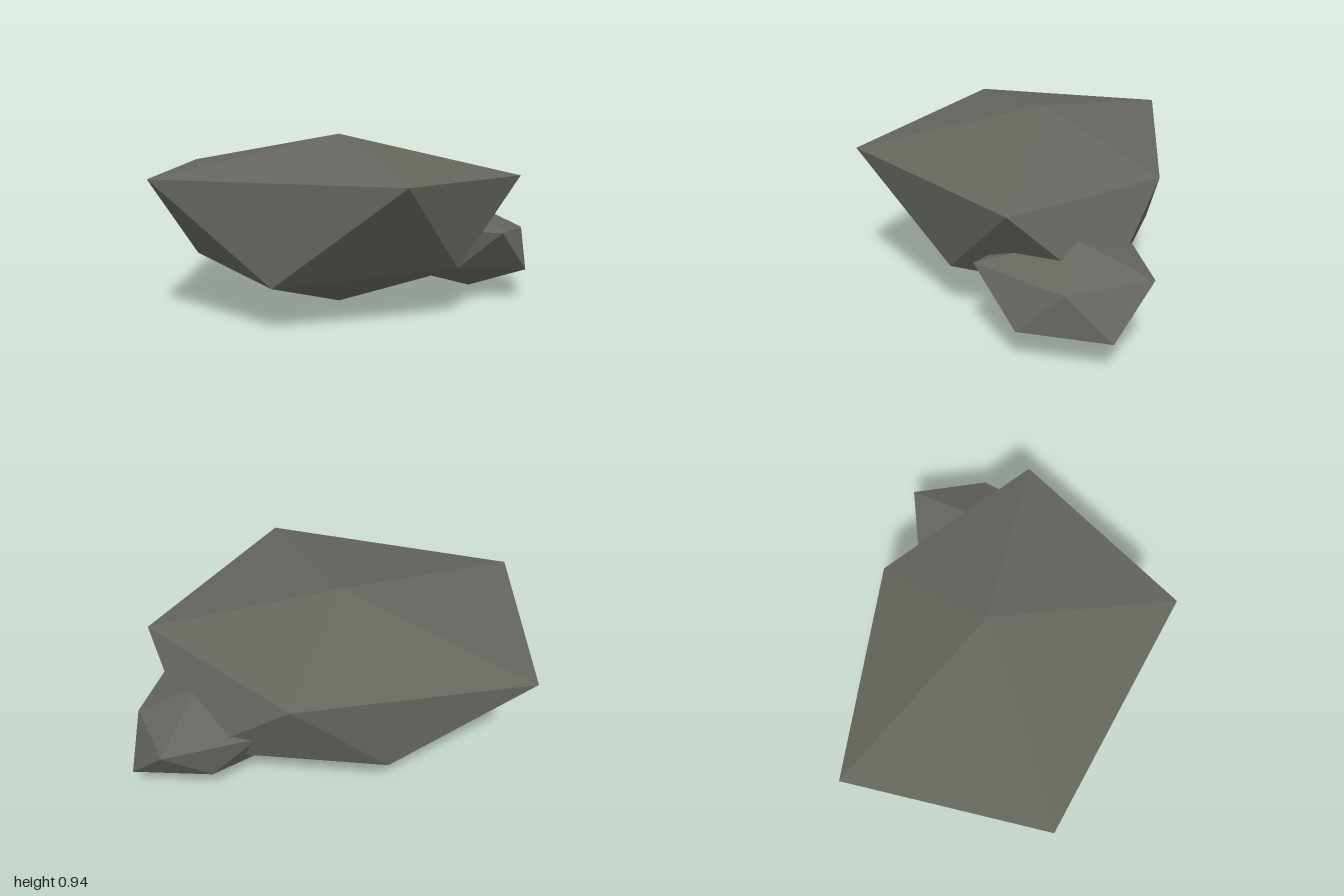
import * as THREE from 'three';

// Faceted boulder: a top point, two rings of five points (counter-clockwise from above), a bottom point
function boulder(name, material, top, upper, lower, bottom) {
  const corners = [];
  for (let i = 0; i < 5; i++) {
    const k = (i + 1) % 5;
    corners.push(
      top, upper[i], upper[k],
      upper[i], lower[i], upper[k],
      lower[i], lower[k], upper[k],
      bottom, lower[k], lower[i]
    );
  }
  const geometry = new THREE.BufferGeometry();
  geometry.setAttribute('position', new THREE.Float32BufferAttribute(corners.flat(), 3));
  geometry.computeVertexNormals();
  const mesh = new THREE.Mesh(geometry, material);
  mesh.name = name;
  return mesh;
}

export function createModel() {
  const group = new THREE.Group();
  group.name = 'rocks';
  const stone = new THREE.MeshStandardMaterial({ color: 0x64665e, flatShading: true });
  stone.name = 'stone';

  // Large boulder, wide above and narrow below
  group.add(boulder('largeRock', stone,
    [-0.07, 0.945, -0.13],
    [[0.93, 0.72, -0.13], [0.19, 0.675, -0.765], [-0.98, 0.745, -0.66], [-1, 0.755, 0.41], [0.3, 0.77, 0.79]],
    [[0.69, 0.25, -0.56], [-0.29, 0.26, -0.69], [-0.87, 0.27, -0.13], [-0.36, 0.24, 0.575], [0.57, 0.275, 0.23]],
    [-0.07, 0, -0.13]));

  // Small boulder, partly sunk into the large one
  group.add(boulder('smallRock', stone,
    [0.68, 0.53, -0.4],
    [[0.98, 0.385, -0.4], [0.81, 0.415, -0.79], [0.36, 0.4, -0.64], [0.36, 0.4, -0.16], [0.82, 0.43, 0.05]],
    [[1, 0.175, -0.63], [0.59, 0.2, -0.68], [0.28, 0.13, -0.4], [0.59, 0.2, -0.09], [0.98, 0.18, -0.18]],
    [0.68, 0.035, -0.395]));

  return group;
}
